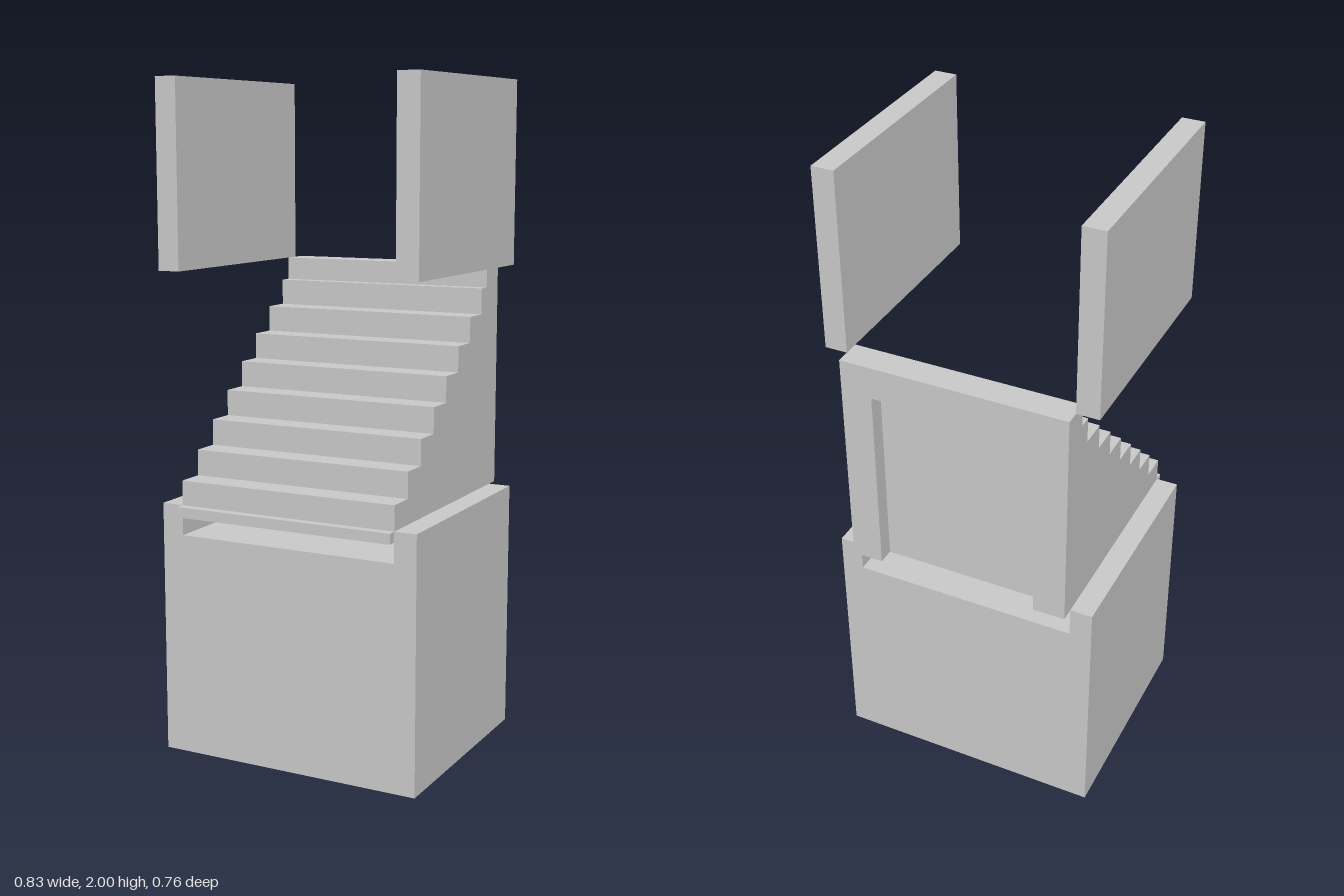
import * as THREE from 'three';

const HALF_IN = 0.345;   // half width of the stair and channel
const HALF_OUT = 0.413;  // half width of the base
const FRONT = 0.352, BACK = -0.338;
const BASE_TOP = 0.763, TOP = 1.45;

export function createModel() {
  const group = new THREE.Group();
  const grey = new THREE.MeshStandardMaterial({ color: 0xc8c8c8 });
  grey.name = 'lightGrey';

  const add = (name, geometry) => {
    const mesh = new THREE.Mesh(geometry, grey);
    mesh.name = name;
    group.add(mesh);
    return mesh;
  };
  const extrude = (points, depth) => new THREE.ExtrudeGeometry(
    new THREE.Shape(points.map(([x, y]) => new THREE.Vector2(x, y))),
    { depth, bevelEnabled: false });
  const box = (name, x0, x1, y0, y1, z0, z1) =>
    add(name, new THREE.BoxGeometry(x1 - x0, y1 - y0, z1 - z0))
      .position.set((x0 + x1) / 2, (y0 + y1) / 2, (z0 + z1) / 2);

  // Base block with a shallow channel running front to back
  const base = extrude([
    [-HALF_OUT, 0], [HALF_OUT, 0], [HALF_OUT, BASE_TOP], [HALF_IN, BASE_TOP],
    [HALF_IN, 0.672], [-HALF_IN, 0.672], [-HALF_IN, BASE_TOP], [-HALF_OUT, BASE_TOP],
  ], FRONT - BACK);
  base.translate(0, 0, BACK);
  add('base', base);

  // Solid staircase: stepped side profile (z, y) swept across the width
  const recess = -0.33, run = 0.0863, rise = 0.0778, firstTread = 0.837;
  const profile = [[recess, BASE_TOP], [FRONT, BASE_TOP], [FRONT, firstTread]];
  for (let i = 1; i < 8; i++) {
    const z = FRONT - run * i, y = firstTread + rise * i;
    profile.push([z, y - rise], [z, y]);
  }
  profile.push([-0.291, firstTread + rise * 7], [-0.291, TOP], [recess, TOP]);
  const stairs = extrude(profile, HALF_IN * 2);
  stairs.translate(0, 0, -HALF_IN);
  stairs.rotateY(-Math.PI / 2);
  add('staircase', stairs);

  // Lowest tread lip hanging over the front of the base
  box('bottomLip', -HALF_IN, HALF_IN, 0.732, BASE_TOP, 0.29, 0.38);

  // Door surround on the back, open at the bottom
  const frame = extrude([
    [-HALF_IN, BASE_TOP], [-0.247, BASE_TOP], [-0.247, 1.35], [0.25, 1.35],
    [0.25, BASE_TOP], [HALF_IN, BASE_TOP], [HALF_IN, TOP], [-HALF_IN, TOP],
  ], recess + 0.38);
  frame.translate(0, 0, -0.38);
  add('doorSurround', frame);

  // Upright side walls above the stair
  box('leftWall', HALF_IN, HALF_OUT, TOP, 2, BACK, FRONT);
  box('rightWall', -HALF_OUT, -HALF_IN, TOP, 2, BACK, FRONT);

  return group;
}
